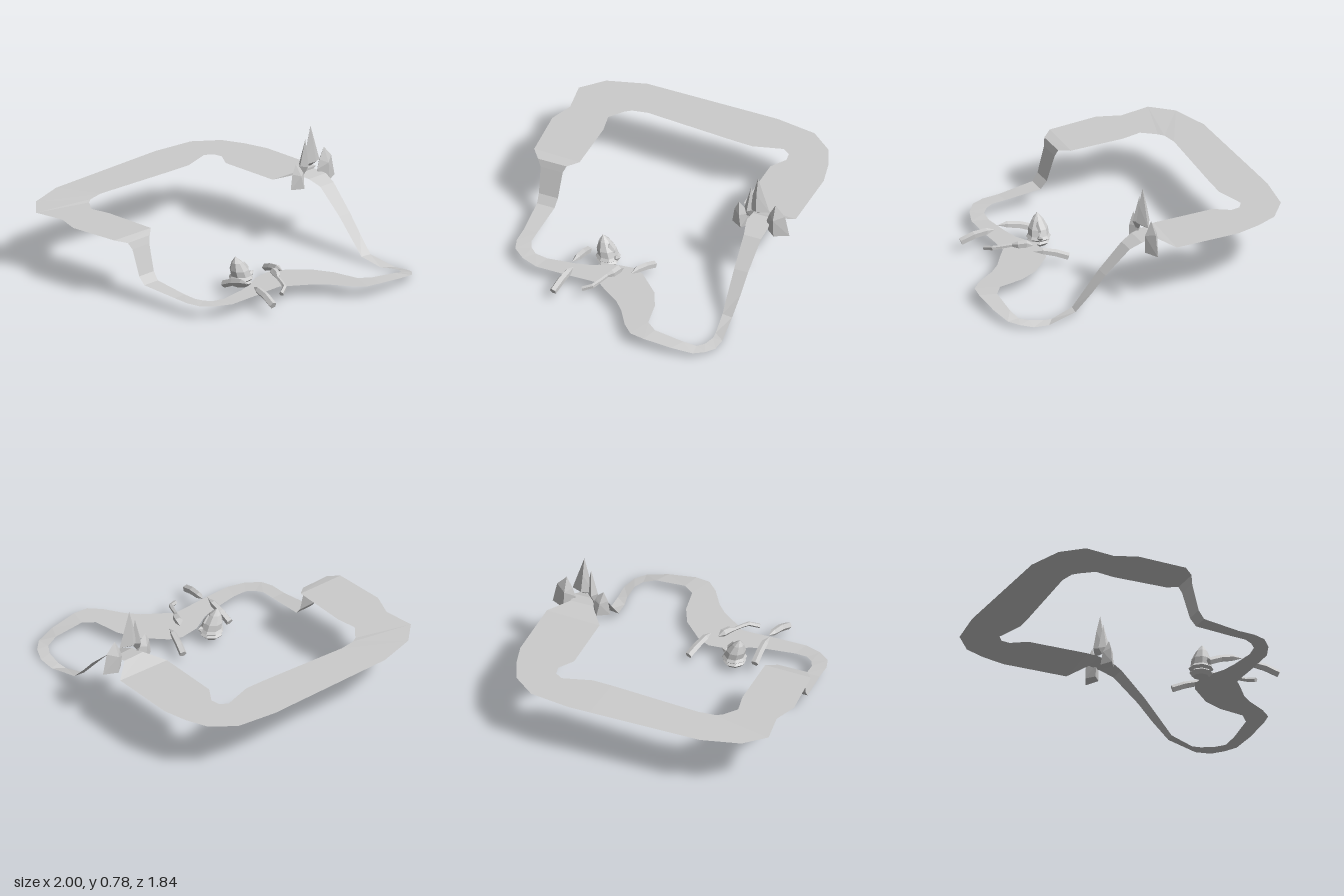
import * as THREE from 'three';
import { ConvexGeometry } from 'three/addons/geometries/ConvexGeometry.js';

const grey = new THREE.MeshStandardMaterial({ color: 0xcccccc, side: THREE.DoubleSide });
grey.name = 'light grey';

function mesh(name, geometry) {
  const m = new THREE.Mesh(geometry, grey);
  m.name = name;
  return m;
}

// Joins rings of points with faceted quads
function loft(rings, closed) {
  const n = rings[0].length, pos = [], index = [];
  rings.forEach(r => r.forEach(p => pos.push(p.x, p.y, p.z)));
  for (let i = 0; i < rings.length - 1; i++) {
    for (let j = 0; j < (closed ? n : n - 1); j++) {
      const a = i * n + j, b = i * n + (j + 1) % n;
      index.push(a, a + n, b, b, a + n, b + n);
    }
  }
  const g = new THREE.BufferGeometry();
  g.setAttribute('position', new THREE.Float32BufferAttribute(pos, 3));
  g.setIndex(index);
  const flat = g.toNonIndexed();
  flat.computeVertexNormals();
  return flat;
}

// Road rows: outer x, outer z, inner x, inner z, height
const upperRoad = [
  [-0.01, -0.78, -0.01, -0.63, 0.462], [-0.11, -0.9, -0.13, -0.535, 0.42],
  [-0.54, -0.9, -0.54, -0.535, 0.42], [-0.7, -0.86, -0.64, -0.6, 0.42],
  [-0.84, -0.8, -0.7, -0.59, 0.42], [-0.96, -0.65, -0.735, -0.54, 0.42],
  [-1, -0.38, -0.68, -0.35, 0.42], [-1, -0.24, -0.685, -0.22, 0.42],
  [-1, 0.51, -0.73, 0.385, 0.418], [-0.93, 0.76, -0.715, 0.49, 0.414],
  [-0.8, 0.89, -0.69, 0.53, 0.41], [-0.6, 0.86, -0.6, 0.6, 0.41],
  [-0.45, 0.915, -0.47, 0.575, 0.41], [-0.115, 0.89, -0.105, 0.575, 0.41],
  [-0.05, 0.835, -0.05, 0.64, 0.395],
];
const lowerRoad = [
  [-0.05, 0.835, -0.05, 0.64, 0.395], [-0.035, 0.81, -0.035, 0.66, 0.35],
  [0.015, 0.8, 0.015, 0.67, 0.18], [0.055, 0.795, 0.055, 0.675, 0.13],
  [0.3, 0.775, 0.3, 0.685, 0.105], [0.41, 0.775, 0.39, 0.685, 0.1],
  [0.49, 0.75, 0.44, 0.66, 0.095], [0.555, 0.67, 0.48, 0.615, 0.09],
  [0.595, 0.56, 0.49, 0.53, 0.085], [0.595, 0.35, 0.465, 0.35, 0.085],
  [0.59, 0.22, 0.44, 0.25, 0.085], [0.59, 0.13, 0.375, 0.13, 0.085],
  [0.63, 0.08, 0.36, 0, 0.085], [0.715, -0.04, 0.395, -0.08, 0.085],
  [0.785, -0.105, 0.535, -0.22, 0.085], [0.91, -0.185, 0.66, -0.28, 0.085],
  [0.98, -0.255, 0.83, -0.31, 0.085], [0.995, -0.35, 0.885, -0.38, 0.083],
  [0.985, -0.535, 0.895, -0.58, 0.062], [0.955, -0.67, 0.875, -0.66, 0.04],
  [0.9, -0.73, 0.82, -0.695, 0.03], [0.82, -0.765, 0.725, -0.705, 0.012],
  [0.715, -0.765, 0.66, -0.695, 0.002], [0.52, -0.745, 0.51, -0.675, 0.04],
  [0.415, -0.757, 0.415, -0.672, 0.15], [0.32, -0.765, 0.32, -0.67, 0.26],
  [0.16, -0.782, 0.16, -0.665, 0.415], [0.08, -0.795, 0.08, -0.645, 0.45],
  [-0.01, -0.78, -0.01, -0.63, 0.462],
];
const road = rows => loft(rows.map(([ox, oz, ix, iz, y]) =>
  [new THREE.Vector3(ox, y, oz), new THREE.Vector3(ix, y, iz)]), false);

// Rock shard: silhouette of [z, y] on the mid plane plus ridges [z, y, depth] on both sides
function shard(outline, ridges) {
  const x = 0.033;
  const pts = outline.map(([z, y]) => new THREE.Vector3(x, y, z));
  for (const [z, y, d] of ridges)
    for (const s of [-1, 1]) pts.push(new THREE.Vector3(x + s * d, y, z));
  return new ConvexGeometry(pts);
}

// Tapering five-sided limb: rows of x, y, z, radius
function limb(rows) {
  const c = rows.map(r => new THREE.Vector3(r[0], r[1], r[2]));
  const up = new THREE.Vector3(0, 1, 0);
  return loft(c.map((p, i) => {
    const t = c[Math.min(i + 1, c.length - 1)].clone().sub(c[Math.max(i - 1, 0)]).normalize();
    const side = t.clone().cross(up).normalize(), top = side.clone().cross(t);
    return Array.from({ length: 5 }, (_, j) => {
      const a = j / 5 * Math.PI * 2;
      return p.clone().addScaledVector(side, Math.cos(a) * rows[i][3])
        .addScaledVector(top, Math.sin(a) * rows[i][3]);
    });
  }), true);
}

export function createModel() {
  const model = new THREE.Group();
  model.name = 'raceTrack';
  model.add(mesh('upperRoad', road(upperRoad)), mesh('lowerRoad', road(lowerRoad)));

  // Rock arch over the road
  const arch = new THREE.Group();
  arch.name = 'rockArch';
  arch.add(
    mesh('tallSpire', shard([[-0.706, 0.78], [-0.64, 0.53], [-0.64, 0.49], [-0.7, 0.512], [-0.785, 0.535], [-0.77, 0.49]].filter(p => p[1] > 0.5),
      [[-0.71, 0.55, 0.046], [-0.706, 0.67, 0.026]])),
    mesh('frontSpire', shard([[-0.66, 0.7], [-0.613, 0.53], [-0.69, 0.53], [-0.65, 0.47], [-0.63, 0.45]],
      [[-0.645, 0.53, 0.04]])),
    mesh('frontLegRock', shard([[-0.53, 0.395], [-0.545, 0.495], [-0.575, 0.555], [-0.63, 0.51], [-0.65, 0.49], [-0.64, 0.395]],
      [[-0.605, 0.395, 0.045], [-0.59, 0.48, 0.035]])),
    mesh('backLegRock', shard([[-0.825, 0.605], [-0.89, 0.535], [-0.92, 0.395], [-0.775, 0.395], [-0.765, 0.47], [-0.785, 0.53]],
      [[-0.83, 0.395, 0.045], [-0.825, 0.51, 0.042]])));
  model.add(arch);

  // Sea beast: ringed bulb leaning up into a pointed crest
  const beast = new THREE.Group();
  beast.name = 'beast';
  const profile = [[0, 0.035], [0.05, 0.036], [0.073, 0.06], [0.06, 0.072], [0.079, 0.088], [0.066, 0.105], [0.062, 0.145], [0.036, 0.195], [0, 0.235]];
  const rings = profile.map(([r, y]) => Array.from({ length: 8 }, (_, j) => {
    const a = -(j + 0.4) / 8 * Math.PI * 2;
    const lean = Math.max(0, y - 0.105) / 0.13;
    return new THREE.Vector3(0.31 - lean * 0.01 + Math.cos(a) * r, y, 0.195 + lean * 0.04 - Math.sin(a) * r);
  })).reverse();
  beast.add(mesh('body', loft(rings, true)));
  beast.add(mesh('crestHorn', shard([[0.18, 0.195], [0.14, 0.15], [0.15, 0.09], [0.22, 0.1], [0.22, 0.15]], [[0.18, 0.11, 0.04]]).translate(0.29, 0, 0)));
  beast.add(mesh('fin', limb([[0.33, 0.09, 0.16, 0.015], [0.33, 0.105, 0.125, 0.018], [0.33, 0.115, 0.1, 0]])));

  // Tentacles lying across the road
  const tentacles = [
    [[0.245, 0.06, -0.09, 0], [0.245, 0.06, -0.09, 0.024], [0.32, 0.09, -0.065, 0.024], [0.4, 0.11, -0.04, 0.021], [0.455, 0.112, -0.025, 0]],
    [[0.425, 0.12, 0.035, 0], [0.46, 0.13, 0.055, 0.026], [0.51, 0.125, 0.075, 0.024], [0.54, 0.12, 0.1, 0.012],
      [0.6, 0.11, 0.125, 0.013], [0.65, 0.1, 0.15, 0.015], [0.68, 0.08, 0.21, 0.015], [0.68, 0.08, 0.21, 0]],
    [[0.3, 0.08, 0.335, 0], [0.3, 0.08, 0.335, 0.025], [0.38, 0.115, 0.335, 0.024], [0.46, 0.135, 0.337, 0.022], [0.525, 0.14, 0.345, 0]],
    [[0.55, 0.125, 0.325, 0], [0.6, 0.12, 0.337, 0.022], [0.68, 0.105, 0.352, 0.025], [0.765, 0.07, 0.37, 0.024], [0.765, 0.07, 0.37, 0]],
  ];
  tentacles.forEach((rows, i) => beast.add(mesh('tentacle' + (i + 1), limb(rows))));
  model.add(beast);
  return model;
}
